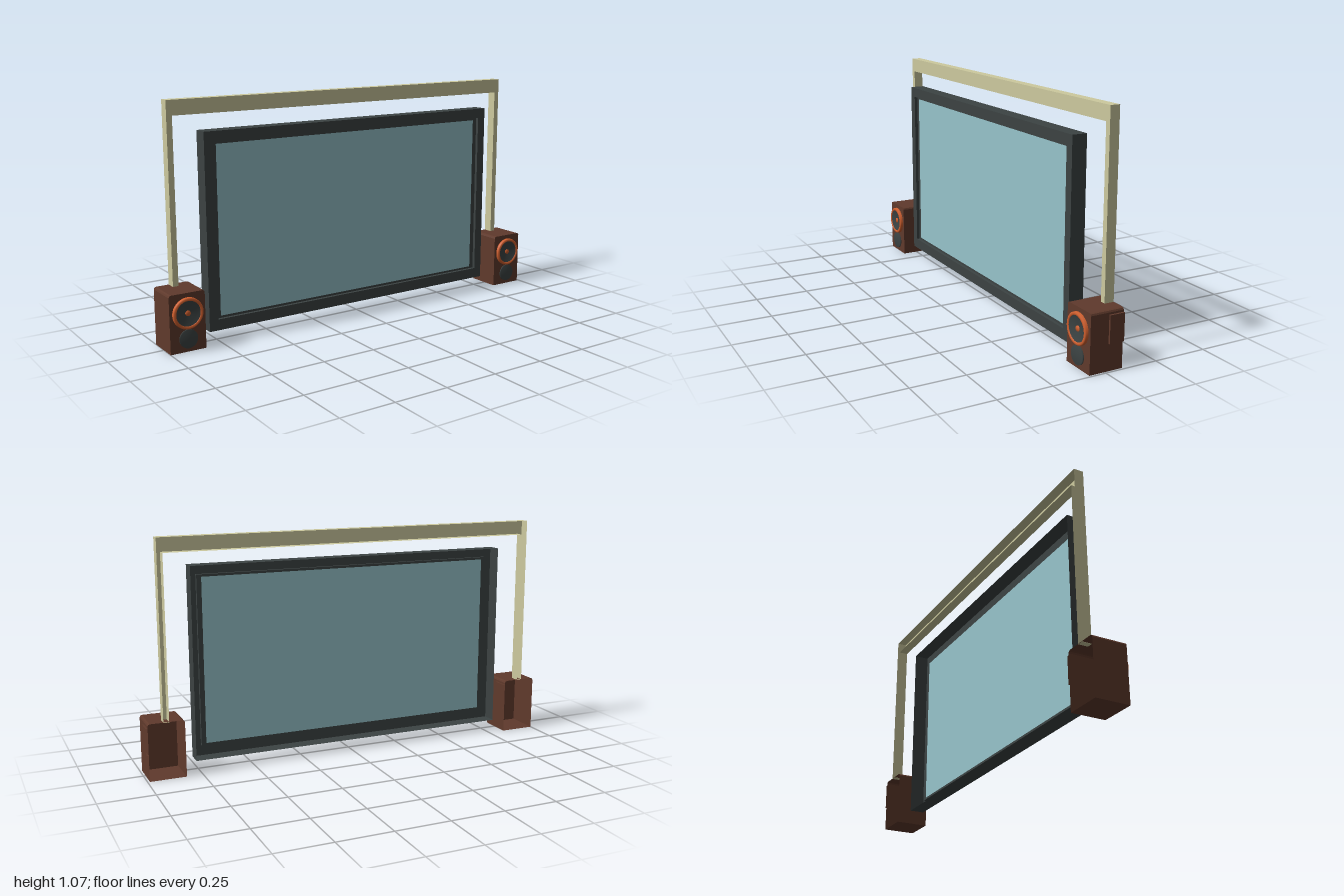
import * as THREE from 'three';

const paint = (name, color) => new THREE.MeshStandardMaterial({ name, color, side: THREE.DoubleSide });

// Counter-clockwise rectangle outline
const rect = (x0, x1, y0, y1) => [[x0, y0], [x1, y0], [x1, y1], [x0, y1]];
const toPoints = (outline) => outline.map(([x, y]) => new THREE.Vector2(x, y));

function mesh(name, geometry, material, parent) {
  const m = new THREE.Mesh(geometry, material);
  m.name = name;
  parent.add(m);
  return m;
}

// Flat sheet with an optional opening
function sheet(name, outline, z, material, parent, hole) {
  const shape = new THREE.Shape(toPoints(outline));
  if (hole) shape.holes.push(new THREE.Path(toPoints(hole)));
  mesh(name, new THREE.ShapeGeometry(shape), material, parent).position.z = z;
}

// Thin wall following an outline from front to back
function wall(name, outline, zFront, zBack, material, parent) {
  const v = [];
  outline.forEach(([ax, ay], i) => {
    const [bx, by] = outline[(i + 1) % outline.length];
    v.push(ax, ay, zFront, ax, ay, zBack, bx, by, zBack);
    v.push(ax, ay, zFront, bx, by, zBack, bx, by, zFront);
  });
  const g = new THREE.BufferGeometry();
  g.setAttribute('position', new THREE.Float32BufferAttribute(v, 3));
  g.computeVertexNormals();
  mesh(name, g, material, parent);
}

// Hollow tray: front sheet and walls, open at the back
function tray(name, outline, zFront, zBack, material, parent, hole) {
  sheet(name + 'Front', outline, zFront, material, parent, hole);
  wall(name + 'Walls', outline, zFront, zBack, material, parent);
}

// Round part turned about the z axis; profile is [radius, z]
function turned(name, profile, x, y, material, parent) {
  const g = new THREE.LatheGeometry(toPoints(profile), 32);
  g.rotateX(Math.PI / 2);
  mesh(name, g, material, parent).position.set(x, y, 0);
}

export function createModel() {
  const model = new THREE.Group();
  model.name = 'screenWithSpeakers';
  const brass = paint('paleBrass', 0xcdca9f);
  const dark = paint('charcoal', 0x3c4343);
  const wood = paint('brownWood', 0x603a2c);
  const copper = paint('copper', 0xcf5f2e);
  const glass = paint('paleBlueGlass', 0x96c4cb);
  const BACK = -0.085;

  // Overhead frame: two posts and a cross bar, open channel at the back
  const arch = new THREE.Group();
  arch.name = 'overheadFrame';
  tray('frame', [
    [-0.93, 0.26], [-0.904, 0.26], [-0.904, 1.003], [0.894, 1.003],
    [0.894, 0.26], [0.92, 0.26], [0.92, 1.07], [-0.93, 1.07],
  ], -0.04, BACK, brass, arch);
  model.add(arch);

  // Display: deep casing, stepped bezel and screen
  const display = new THREE.Group();
  display.name = 'display';
  const rim = rect(-0.753, 0.725, 0.1, 0.888);
  const pane = rect(-0.733, 0.703, 0.11, 0.877);
  tray('casing', rect(-0.795, 0.766, 0.05, 0.935), 0.03, -0.04, dark, display, rim);
  wall('bezelStep', rim, 0.03, 0.015, dark, display);
  sheet('bezelLedge', rim, 0.015, dark, display, pane);
  sheet('screen', pane, 0.015, glass, display);
  model.add(display);

  // Two identical speakers
  [['rightSpeaker', -0.917], ['leftSpeaker', 0.907]].forEach(([name, x]) => {
    const speaker = new THREE.Group();
    speaker.name = name;
    const h = 0.083, top = 0.262, c = 0.01;
    tray('cabinet', [
      [-h, 0], [h, 0], [h, top - c], [h - c * 0.3, top - c * 0.3], [h - c, top],
      [-h + c, top], [-h + c * 0.3, top - c * 0.3], [-h, top - c],
    ], 0.073, BACK, wood, speaker);
    tray('sidePanel', rect(h, h + 0.009, 0.12, 0.243), -0.015, BACK, wood, speaker);

    // Large driver: raised ring, dished cone, centre cap
    const y = 0.173;
    turned('wooferRing', [[0.07, 0.073], [0.07, 0.084], [0.066, 0.088], [0.058, 0.088], [0.056, 0.084]], 0, y, copper, speaker);
    turned('wooferCone', [[0.058, 0.085], [0.04, 0.08], [0.001, 0.075]], 0, y, dark, speaker);
    turned('wooferCap', [[0.012, 0.074], [0.012, 0.081], [0, 0.081]], 0, y, copper, speaker);

    // Small driver
    turned('tweeter', [[0.042, 0.073], [0.042, 0.081], [0, 0.081]], 0, 0.059, dark, speaker);
    speaker.position.x = x;
    model.add(speaker);
  });

  return model;
}
